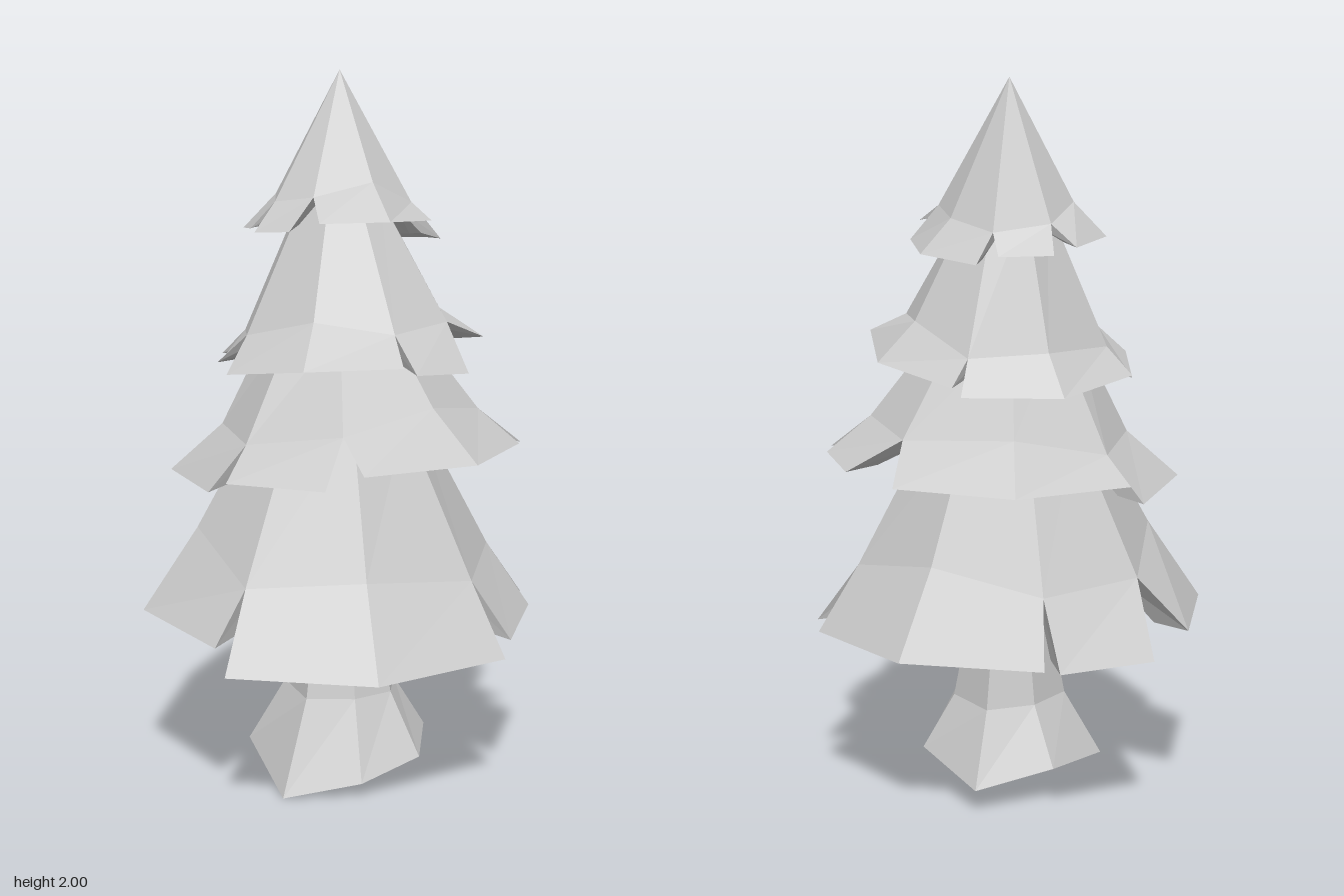
import * as THREE from 'three';

// Point on a circle; the angle is in degrees, from the front (+z) towards +x
function polar(degrees, radius, y, cx = 0, cz = 0) {
  const a = THREE.MathUtils.degToRad(degrees);
  return new THREE.Vector3(cx + radius * Math.sin(a), y, cz + radius * Math.cos(a));
}

// Flat-shaded mesh from a list of triangle corners
function facetMesh(name, corners) {
  const geometry = new THREE.BufferGeometry().setFromPoints(corners);
  geometry.computeVertexNormals();
  const material = new THREE.MeshStandardMaterial({ color: 0xcccccc, flatShading: true, side: THREE.DoubleSide });
  const mesh = new THREE.Mesh(geometry, material);
  mesh.name = name;
  return mesh;
}

// Each frond is [start angle, end angle, radius, height]; tilt slopes the rim along z.
// bend and rise place the fold ring, neck and top the upper ring.
const tiers = [
  {
    name: 'bottomBranches', cx: 0, cz: 0, tilt: 0, bend: 0.72, rise: 0.23, neck: 0.4, top: 1.06,
    fronds: [[-41, 43, 0.575, 0.445], [49, 83, 0.558, 0.48], [96, 177, 0.567, 0.48],
      [181, 209, 0.58, 0.475], [229, 314, 0.55, 0.512]],
  },
  {
    name: 'lowerMiddleBranches', cx: 0.03, cz: 0, tilt: 0.05, bend: 0.69, rise: 0.13, neck: 0.38, top: 1.32,
    fronds: [[-5, 76, 0.487, 0.965], [82, 110, 0.495, 0.96], [131, 215, 0.475, 0.945],
      [219, 301, 0.492, 0.895], [308, 343, 0.482, 0.925]],
  },
  {
    name: 'upperMiddleBranches', cx: 0.03, cz: 0.02, tilt: 0.2, bend: 0.72, rise: 0.11, neck: 0.3, top: 1.66,
    fronds: [[-68, 12, 0.385, 1.175], [17, 45, 0.395, 1.155], [66, 149, 0.383, 1.255],
      [153, 236, 0.388, 1.235], [244, 278, 0.373, 1.21]],
  },
  {
    name: 'topBranches', cx: 0.015, cz: 0, tilt: 0.12, bend: 0.66, rise: 0.095, neck: 0, top: 2,
    fronds: [[-23, 64, 0.257, 1.59], [69, 151, 0.278, 1.54], [163, 198, 0.252, 1.56],
      [211, 287, 0.273, 1.58], [293, 320, 0.276, 1.57]],
  },
];

function makeTier({ name, cx, cz, tilt, bend, rise, neck, top, fronds }) {
  const corners = [];
  const quad = (a, b, c, d) => corners.push(a, b, c, a, c, d);
  // The axis leans slightly with height
  const axis = new THREE.Vector3(0.0125 * top, top, -0.0325 * top);
  // Pull a rim point towards the axis and set its height
  const pull = (p, f, y) => axis.clone().lerp(p, f).setY(y);

  // Wide fronds have a crease in the middle
  const panels = fronds.map(([start, end, radius, height]) => {
    const segments = end - start > 50 ? 2 : 1;
    return Array.from({ length: segments + 1 }, (_, i) => {
      const rim = polar(start + (end - start) * i / segments, radius, height, cx, cz);
      rim.y += tilt * rim.z;
      return {
        rim,
        lip: pull(rim, 0.81, rim.y + 0.012),
        fold: pull(rim, bend, rim.y + rise),
        inner: pull(rim, bend * 0.78, rim.y + rise - 0.03),
        neck: pull(rim, neck, top),
      };
    });
  });

  // Neighbouring fronds meet in a shared notch, a little below the fold ring
  panels.forEach((panel, i) => {
    const a = panel[panel.length - 1];
    const b = panels[(i + 1) % panels.length][0];
    for (const key of ['fold', 'inner', 'neck']) a[key] = b[key] = a[key].clone().lerp(b[key], 0.5);
    const edge = a.rim.clone().lerp(b.rim, 0.5);
    a.fold.lerp(edge, 0.25);
    a.inner.lerp(edge, 0.15);
  });

  const ceiling = axis.clone().setY(top - 0.08);
  for (const panel of panels) {
    for (let i = 0; i + 1 < panel.length; i++) {
      const a = panel[i], b = panel[i + 1];
      quad(a.rim, b.rim, b.fold, a.fold);
      if (neck) quad(a.fold, b.fold, b.neck, a.neck);
      const upper = neck ? 'neck' : 'fold';
      corners.push(a[upper], b[upper], axis);
      // Underside
      quad(a.lip, b.lip, b.rim, a.rim);
      quad(a.inner, b.inner, b.lip, a.lip);
      corners.push(b.inner, a.inner, ceiling);
    }
    // Side walls of the frond
    const s = panel[0], e = panel[panel.length - 1];
    quad(s.rim, s.fold, s.inner, s.lip);
    quad(e.rim, e.lip, e.inner, e.fold);
  }
  return facetMesh(name, corners);
}

// Seven-sided hollow trunk; each root is [angle, radius, height]
function makeTrunk() {
  const roots = [
    [-41, 0.287, 0], [6, 0.262, 0.045], [48, 0.28, 0.085], [92, 0.265, 0.11],
    [150, 0.325, 0.065], [195, 0.25, 0.1], [255, 0.25, 0.08],
  ].map((root) => polar(...root));
  const rings = [roots];
  for (const [scale, y] of [[0.62, 0.26], [0.48, 0.45], [0.4, 0.7], [0.25, 1]]) {
    rings.push(roots.map((p) => new THREE.Vector3(0.01 + p.x * scale, y, p.z * scale)));
  }
  const corners = [];
  for (let r = 0; r + 1 < rings.length; r++) {
    const lo = rings[r], hi = rings[r + 1];
    for (let i = 0; i < roots.length; i++) {
      const j = (i + 1) % roots.length;
      corners.push(lo[i], lo[j], hi[j], lo[i], hi[j], hi[i]);
    }
  }
  return facetMesh('trunk', corners);
}

export function createModel() {
  const tree = new THREE.Group();
  tree.name = 'tree';
  tree.add(makeTrunk(), ...tiers.map(makeTier));
  return tree;
}
